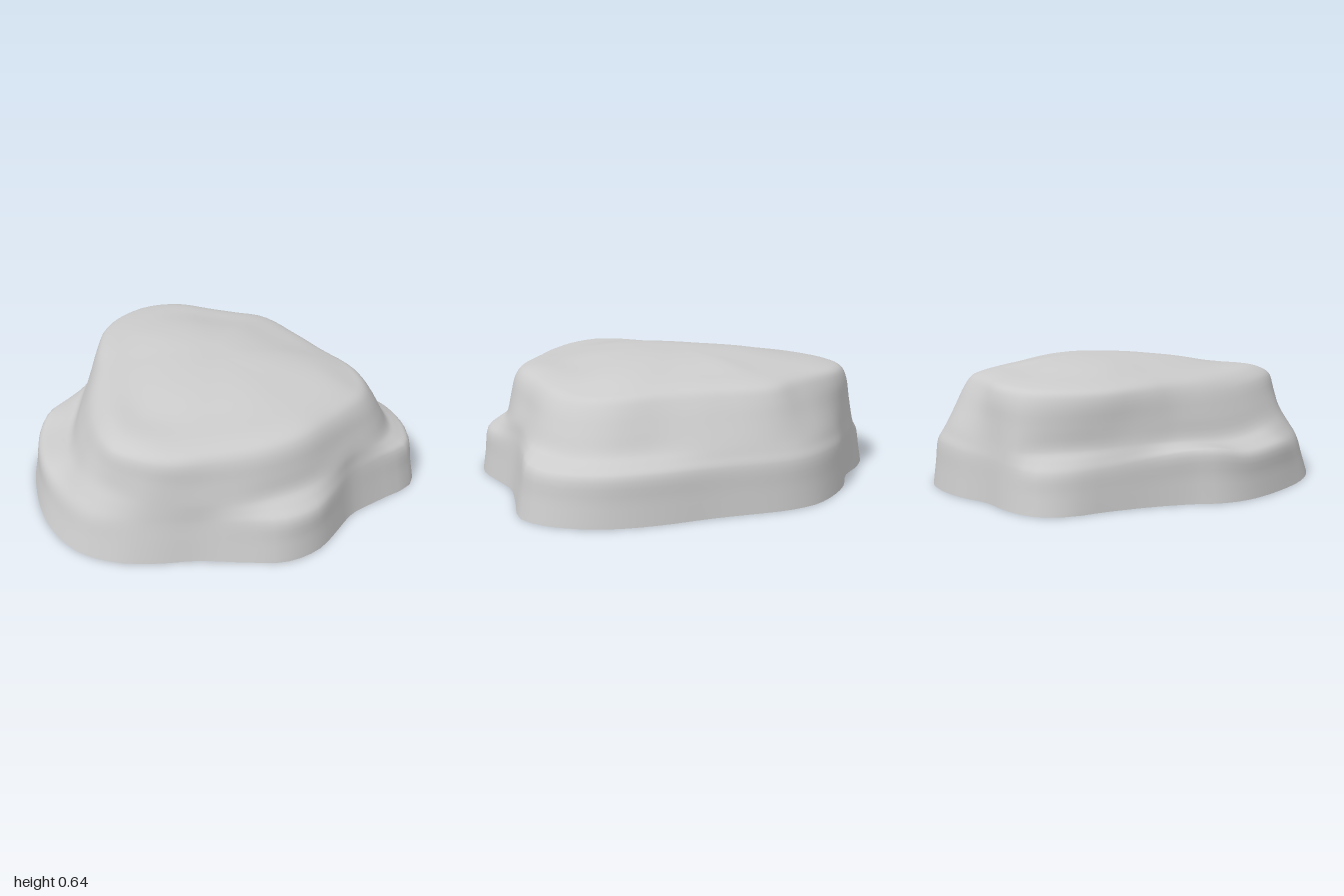
import * as THREE from 'three';

// Contours of the boulder, from the ground up, as [x, z, height] points
const BASE = [
  [-0.2, -0.99], [0.2, -0.94], [0.45, -0.92], [0.65, -0.88], [0.8, -0.81], [0.92, -0.71], [0.995, -0.57],
  [0.95, -0.35], [0.91, -0.15], [0.93, 0], [0.95, 0.2], [0.89, 0.38], [0.75, 0.51], [0.57, 0.65],
  [0.42, 0.81], [0.28, 0.92], [0.12, 0.98], [-0.02, 0.98], [-0.2, 0.93], [-0.4, 0.82], [-0.65, 0.61],
  [-0.73, 0.47], [-0.75, 0.33], [-0.8, 0.15], [-0.9, -0.08], [-0.99, -0.25], [-0.99, -0.4], [-0.88, -0.54],
  [-0.73, -0.65], [-0.62, -0.79], [-0.5, -0.89], [-0.35, -0.97],
].map(([x, z]) => [x, z, 0.015]);
const SHOULDER = [
  [-0.2, -0.965, 0.24], [0.2, -0.915, 0.24], [0.45, -0.89, 0.24], [0.65, -0.85, 0.24], [0.78, -0.78, 0.24],
  [0.88, -0.69, 0.24], [0.95, -0.56, 0.25], [0.91, -0.35, 0.25], [0.88, -0.15, 0.24], [0.9, 0, 0.23],
  [0.92, 0.2, 0.23], [0.86, 0.36, 0.23], [0.72, 0.48, 0.22], [0.55, 0.62, 0.21], [0.4, 0.77, 0.21],
  [0.26, 0.87, 0.21], [0.12, 0.925, 0.21], [-0.02, 0.92, 0.21], [-0.18, 0.87, 0.21], [-0.38, 0.78, 0.23],
  [-0.62, 0.585, 0.23], [-0.7, 0.455, 0.26], [-0.73, 0.31, 0.26], [-0.78, 0.14, 0.24], [-0.87, -0.08, 0.21],
  [-0.95, -0.26, 0.2], [-0.95, -0.4, 0.2], [-0.85, -0.53, 0.21], [-0.72, -0.64, 0.22], [-0.6, -0.775, 0.23],
  [-0.48, -0.87, 0.24], [-0.34, -0.94, 0.24],
];
const FOOT = [
  [-0.2, -0.91, 0.34], [0.15, -0.87, 0.33], [0.4, -0.81, 0.32], [0.65, -0.74, 0.31], [0.8, -0.62, 0.3],
  [0.87, -0.45, 0.32], [0.86, -0.2, 0.35], [0.86, 0, 0.34], [0.82, 0.2, 0.32], [0.72, 0.4, 0.31],
  [0.6, 0.55, 0.31], [0.45, 0.7, 0.32], [0.33, 0.79, 0.34], [0.15, 0.84, 0.35], [0, 0.83, 0.35],
  [-0.2, 0.73, 0.32], [-0.35, 0.62, 0.29], [-0.5, 0.46, 0.28], [-0.65, 0.25, 0.3], [-0.77, 0.05, 0.31],
  [-0.83, -0.1, 0.3], [-0.875, -0.3, 0.29], [-0.86, -0.49, 0.29], [-0.72, -0.62, 0.31], [-0.55, -0.77, 0.33],
  [-0.4, -0.86, 0.34],
];
const RIM = [
  [-0.2, -0.81, 0.545], [0.1, -0.75, 0.545], [0.3, -0.7, 0.54], [0.55, -0.65, 0.53], [0.7, -0.54, 0.525],
  [0.77, -0.4, 0.54], [0.78, -0.1, 0.555], [0.78, 0.1, 0.56], [0.72, 0.28, 0.555], [0.55, 0.52, 0.55],
  [0.42, 0.68, 0.55], [0.3, 0.75, 0.56], [0.15, 0.785, 0.565], [0.02, 0.73, 0.565], [-0.15, 0.61, 0.555],
  [-0.35, 0.43, 0.55], [-0.5, 0.26, 0.55], [-0.65, 0.11, 0.55], [-0.8, -0.08, 0.545], [-0.85, -0.25, 0.545],
  [-0.83, -0.45, 0.545], [-0.7, -0.6, 0.55], [-0.5, -0.68, 0.55], [-0.35, -0.74, 0.55],
];
const SIDES = 96;
const STEPS = 48;

// Smooths a contour and samples its radius and height at evenly spaced angles
function sampleContour(contour) {
  const curve = new THREE.CatmullRomCurve3(contour.map(([x, z, y]) => new THREE.Vector3(x, y, z)), true);
  const polar = curve.getPoints(1500).map((p) => {
    const a = Math.atan2(p.z, p.x);
    return { a: a < 0 ? a + Math.PI * 2 : a, r: Math.hypot(p.x, p.z), y: p.y };
  });
  return Array.from({ length: SIDES }, (_, i) => {
    const angle = (i / SIDES) * Math.PI * 2;
    const gap = (p) => Math.min(Math.abs(p.a - angle), Math.PI * 2 - Math.abs(p.a - angle));
    return polar.reduce((best, p) => (gap(p) < gap(best) ? p : best));
  });
}

export function createModel() {
  const contours = [BASE, SHOULDER, FOOT, RIM].map(sampleContour);
  const positions = [];
  const index = [];

  for (let i = 0; i < SIDES; i++) {
    const angle = (i / SIDES) * Math.PI * 2;
    const c = Math.cos(angle);
    const s = Math.sin(angle);
    const [base, shoulder, foot, rim] = contours.map(
      (ring) => new THREE.Vector3(ring[i].r * c, ring[i].y, ring[i].r * s));
    const between = (a, b, t) => a.clone().lerp(b, t);
    // Top surface: rings shrink towards a crown set slightly back
    const top = (k, y) => new THREE.Vector3(rim.x * k, y - 0.015 * rim.z * k, rim.z * k - 0.1 * (1 - k));
    const profile = new THREE.CatmullRomCurve3([
      base,
      between(base, shoulder, 0.5),
      shoulder,
      between(shoulder, foot, 0.5),
      foot,
      between(foot, rim, 0.4),
      between(foot, rim, 0.8),
      top(0.975, rim.y),
      top(0.89, rim.y + 0.025),
      top(0.7, 0.597),
      top(0.45, 0.633),
      top(0.2, 0.652),
      top(0, 0.654),
    ]);
    for (let j = 0; j <= STEPS; j++) positions.push(...profile.getPoint(j / STEPS).toArray());

    // Join this column to the next
    const next = ((i + 1) % SIDES) * (STEPS + 1);
    const here = i * (STEPS + 1);
    for (let j = 0; j < STEPS; j++) {
      index.push(here + j, here + j + 1, next + j, next + j, here + j + 1, next + j + 1);
    }
  }

  const geometry = new THREE.BufferGeometry();
  geometry.setAttribute('position', new THREE.Float32BufferAttribute(positions, 3));
  geometry.setIndex(index);
  geometry.computeVertexNormals();

  // Hollow boulder shell, open underneath
  const boulder = new THREE.Mesh(
    geometry,
    new THREE.MeshStandardMaterial({ color: 0xcccccc, side: THREE.DoubleSide }),
  );
  boulder.name = 'boulder';
  const group = new THREE.Group();
  group.name = 'rock';
  group.add(boulder);
  return group;
}
